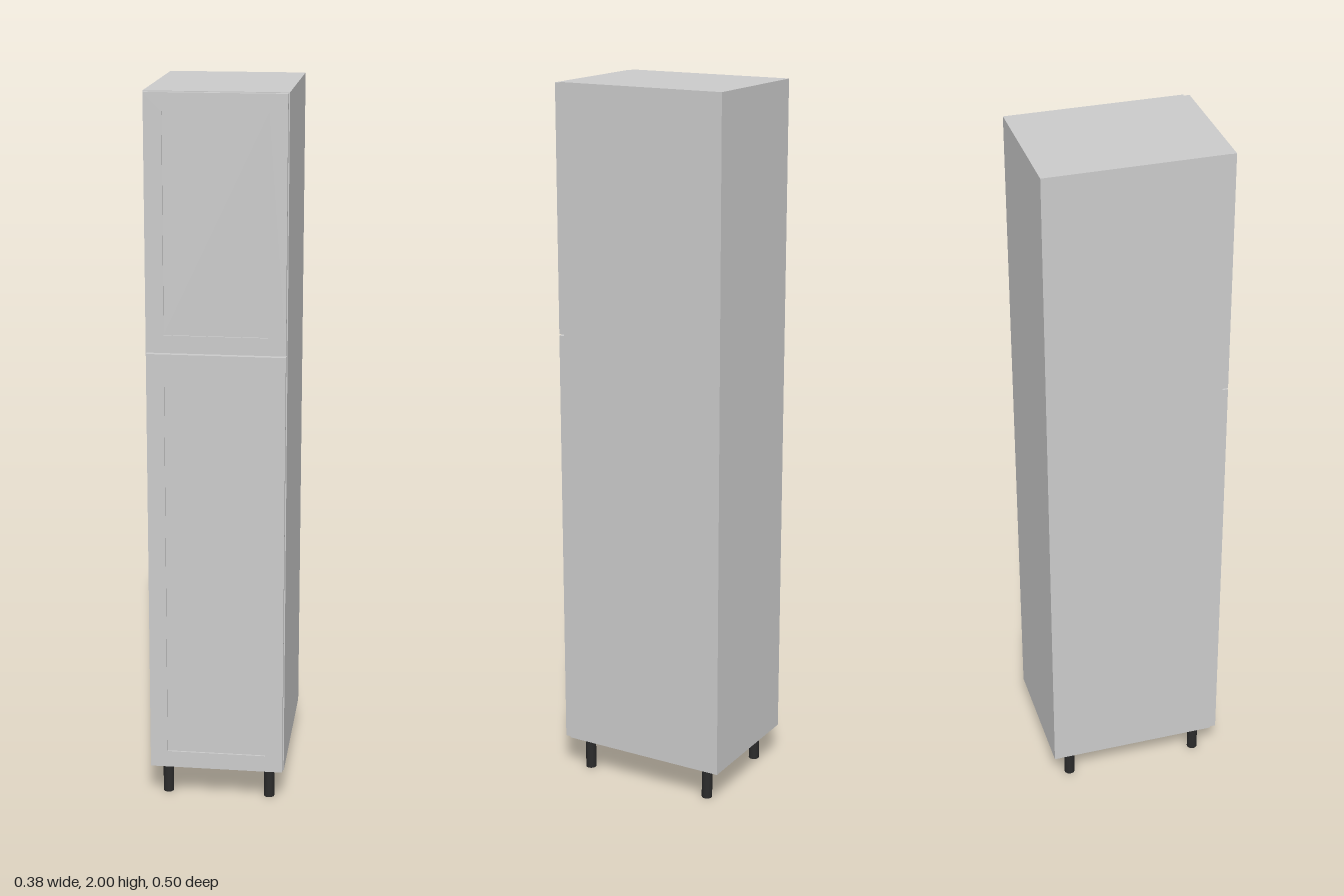
import * as THREE from 'three';

const grey = new THREE.MeshStandardMaterial({ color: 0xcccccc });
const black = new THREE.MeshStandardMaterial({ color: 0x2b2b2b });

const HALF_W = 0.19, BOTTOM = 0.1, TOP = 2;
const BACK = -0.253, BODY_FRONT = 0.235, DOOR_FRONT = 0.252;
const BOARD = 0.016;

// Box given by its lower and upper corners
function box(name, [x0, y0, z0], [x1, y1, z1]) {
  const mesh = new THREE.Mesh(new THREE.BoxGeometry(x1 - x0, y1 - y0, z1 - z0), grey);
  mesh.position.set((x0 + x1) / 2, (y0 + y1) / 2, (z0 + z1) / 2);
  mesh.name = name;
  return mesh;
}

// Framed door with a recessed centre panel
function door(name, y0, y1) {
  const group = new THREE.Group();
  group.name = name;
  const w = 0.187, rail = 0.048, ix = w - rail;
  const frame = new THREE.Shape([[-w, y0], [w, y0], [w, y1], [-w, y1]].map(p => new THREE.Vector2(...p)));
  frame.holes.push(new THREE.Path(
    [[-ix, y0 + rail], [-ix, y1 - rail], [ix, y1 - rail], [ix, y0 + rail]].map(p => new THREE.Vector2(...p))));
  const back = BODY_FRONT + 0.001;
  const frameMesh = new THREE.Mesh(
    new THREE.ExtrudeGeometry(frame, { depth: DOOR_FRONT - back, bevelEnabled: false }), grey);
  frameMesh.position.z = back;
  frameMesh.name = name + 'Frame';
  group.add(frameMesh,
    box(name + 'Panel', [-ix, y0 + rail, back], [ix, y1 - rail, DOOR_FRONT - 0.005]));
  return group;
}

export function createModel() {
  const model = new THREE.Group();
  model.name = 'tallCabinet';

  // Carcass boards
  const carcass = new THREE.Group();
  carcass.name = 'carcass';
  const inner = HALF_W - BOARD;
  carcass.add(
    box('rightSide', [-HALF_W, BOTTOM, BACK], [-inner, TOP, BODY_FRONT]),
    box('leftSide', [inner, BOTTOM, BACK], [HALF_W, TOP, BODY_FRONT]),
    box('bottomBoard', [-inner, BOTTOM, BACK], [inner, BOTTOM + BOARD, BODY_FRONT]),
    box('topBoard', [-inner, TOP - BOARD, BACK], [inner, TOP, BODY_FRONT]),
    box('middleShelf', [-inner, 1.302, BACK + 0.005], [inner, 1.318, BODY_FRONT]),
    box('backBoard', [-inner, BOTTOM + BOARD, BACK], [inner, TOP - BOARD, BACK + 0.005]));
  model.add(carcass);

  // Doors
  model.add(door('lowerDoor', 0.102, 1.308), door('upperDoor', 1.312, 1.998));

  // Four round feet
  const legGeometry = new THREE.CylinderGeometry(0.015, 0.015, BOTTOM, 24);
  for (const x of [-0.145, 0.145]) for (const z of [-0.197, 0.193]) {
    const leg = new THREE.Mesh(legGeometry, black);
    leg.position.set(x, BOTTOM / 2, z);
    leg.name = (z > 0 ? 'front' : 'back') + (x > 0 ? 'Left' : 'Right') + 'Leg';
    model.add(leg);
  }
  return model;
}
